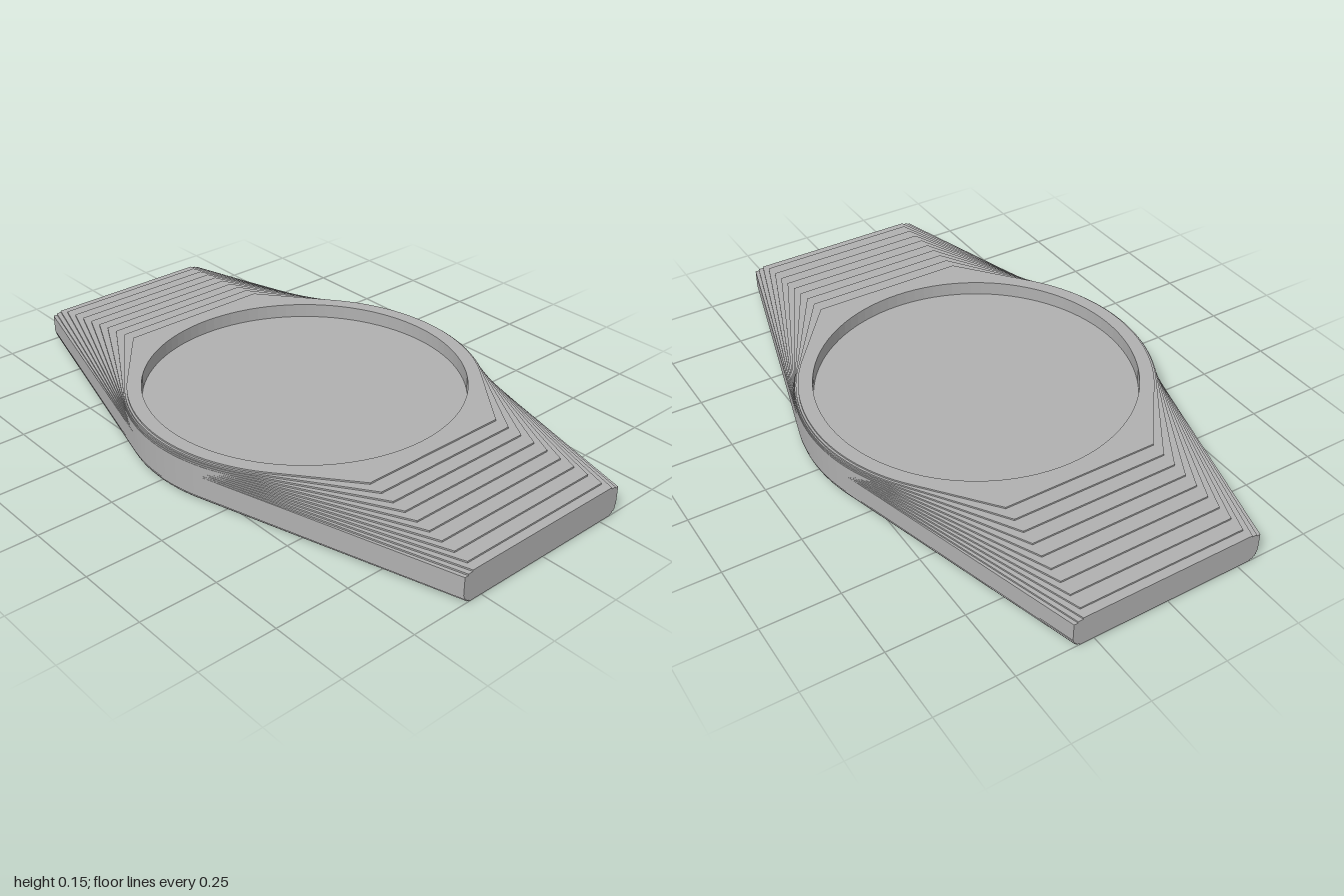
import * as THREE from 'three';

const POCKET_RADIUS = 0.52;

// Plan outline: a central disc joined by tangent lines to two straight ends.
function outline(radius, endX, endHalfWidth) {
  const reach = Math.hypot(endX, endHalfWidth);
  const t = Math.atan2(endHalfWidth, endX) + Math.acos(Math.min(1, radius / reach));
  const shape = new THREE.Shape();
  shape.moveTo(endX, -endHalfWidth);
  shape.lineTo(endX, endHalfWidth);
  shape.absarc(0, 0, radius, t, Math.PI - t, false);
  shape.lineTo(-endX, endHalfWidth);
  shape.lineTo(-endX, -endHalfWidth);
  shape.absarc(0, 0, radius, Math.PI + t, 2 * Math.PI - t, false);
  shape.closePath();
  return shape;
}

export function createModel() {
  const model = new THREE.Group();
  model.name = 'steppedPlate';
  const grey = new THREE.MeshStandardMaterial({ color: 0xb0b0b0 });
  grey.name = 'grey';

  function addLayer(name, y0, y1, radius, endX, endHalfWidth, pocket) {
    const shape = outline(radius, endX, endHalfWidth);
    if (pocket) {
      const hole = new THREE.Path();
      hole.absarc(0, 0, POCKET_RADIUS, 0, Math.PI * 2, true);
      shape.holes.push(hole);
    }
    const geometry = new THREE.ExtrudeGeometry(shape, {
      depth: y1 - y0, bevelEnabled: false, curveSegments: 48,
    });
    geometry.rotateX(-Math.PI / 2);
    const mesh = new THREE.Mesh(geometry, grey);
    mesh.name = name;
    mesh.position.y = y0;
    model.add(mesh);
  }

  // Stepped rounding under the long edges: [bottom, top, disc radius, end half width]
  const lower = [
    [0, 0.005, 0.563, 0.297],
    [0.005, 0.01, 0.57, 0.306],
    [0.01, 0.016, 0.574, 0.312],
    [0.016, 0.023, 0.577, 0.316],
    [0.023, 0.03, 0.579, 0.318],
  ];
  lower.forEach(([y0, y1, r, w], i) => addLayer('lowerEdge' + (i + 1), y0, y1, r, 1, w, false));

  // Main slab and the rounding of the wing edges up to the pocket floor
  addLayer('slab', 0.03, 0.09, 0.58, 1, 0.32, false);
  addLayer('wingEdge1', 0.09, 0.095, 0.58, 1, 0.307, false);
  addLayer('wingEdge2', 0.095, 0.1, 0.58, 1, 0.29, false);

  // Terraces climbing from the ends to the rim around the round pocket
  const rimRadii = [0.58, 0.58, 0.58, 0.58, 0.58, 0.579, 0.577, 0.573, 0.566];
  const step = 0.047 / rimRadii.length;
  rimRadii.forEach((r, i) => {
    const k = i / (rimRadii.length - 1);
    const y0 = 0.1 + i * step;
    addLayer('terrace' + (i + 1), y0, y0 + step, r,
      THREE.MathUtils.lerp(0.97, 0.58, k), THREE.MathUtils.lerp(0.28, 0.262, k), true);
  });

  return model;
}
